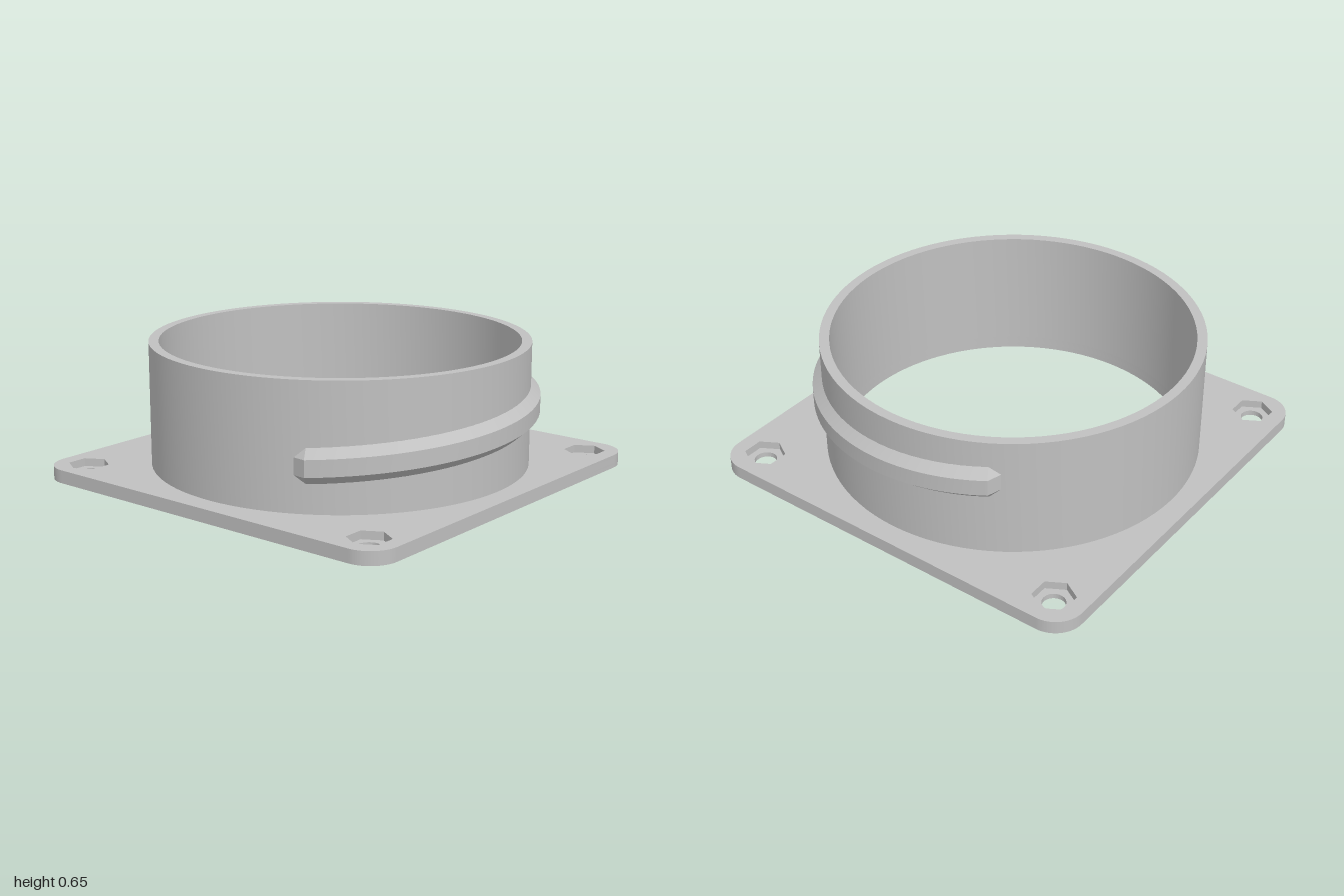
import * as THREE from 'three';
import { toCreasedNormals } from 'three/addons/utils/BufferGeometryUtils.js';

const INNER = 0.85, OUTER = 0.897, HEIGHT = 0.65, PLATE = 0.063, FLOOR = 0.025;
const HOLE_POS = 0.843;

function circlePath(x, y, r) {
  return new THREE.Path().absarc(x, y, r, 0, Math.PI * 2, true);
}

function hexPath(x, y, r) {
  const pts = [];
  for (let i = 0; i < 6; i++) {
    const a = (i * Math.PI) / 3;
    pts.push(new THREE.Vector2(x + r * Math.cos(a), y + r * Math.sin(a)));
  }
  return new THREE.Path(pts).closePath();
}

// One layer of the rounded square plate, with a corner opening of the given kind
function plateLayer(y0, y1, cornerHole) {
  const r = 0.14, c = 1 - r, s = new THREE.Shape();
  s.absarc(c, c, r, 0, Math.PI / 2);
  s.absarc(-c, c, r, Math.PI / 2, Math.PI);
  s.absarc(-c, -c, r, Math.PI, Math.PI * 1.5);
  s.absarc(c, -c, r, Math.PI * 1.5, Math.PI * 2);
  s.closePath();
  s.holes.push(circlePath(0, 0, INNER));
  for (const x of [-HOLE_POS, HOLE_POS])
    for (const y of [-HOLE_POS, HOLE_POS]) s.holes.push(cornerHole(x, y));
  const g = new THREE.ExtrudeGeometry(s, { depth: y1 - y0, bevelEnabled: false, curveSegments: 48 });
  g.rotateX(-Math.PI / 2).translate(0, y0, 0);
  return toCreasedNormals(g, 0.5);
}

// Helical rib: trapezoid section swept half a turn, with ramped ends
function threadGeometry() {
  const start = -Math.PI / 3, end = (Math.PI * 2) / 3, ramp = 0.065, steps = 72;
  const base = 0.083, crest = 0.039, root = OUTER - 0.004, tip = 0.942;
  const pos = [], idx = [];
  const addRing = (a, baseHalf, crestRadius) => {
    const y = 0.333 + (a / Math.PI) * 0.169;
    for (const [r, h] of [[root, -baseHalf], [crestRadius, -crest], [crestRadius, crest], [root, baseHalf]])
      pos.push(r * Math.sin(a), y + h, r * Math.cos(a));
  };
  addRing(start - ramp, crest, root);
  for (let i = 0; i <= steps; i++) addRing(start + ((end - start) * i) / steps, base, tip);
  addRing(end + ramp, crest, root);
  for (let i = 0; i < steps + 2; i++)
    for (let j = 0; j < 3; j++) {
      const a = i * 4 + j, b = a + 4;
      idx.push(a, b, b + 1, a, b + 1, a + 1);
    }
  const g = new THREE.BufferGeometry();
  g.setAttribute('position', new THREE.Float32BufferAttribute(pos, 3));
  g.setIndex(idx);
  g.computeVertexNormals();
  return toCreasedNormals(g, 0.3);
}

export function createModel() {
  const group = new THREE.Group();
  const grey = new THREE.MeshStandardMaterial({ color: 0xc0c0c0 });
  grey.name = 'light grey';
  const add = (name, geometry) => {
    const m = new THREE.Mesh(geometry, grey);
    m.name = name;
    group.add(m);
  };

  // Base plate: bolt holes below, hexagonal nut recesses above
  add('plateBottom', plateLayer(0, FLOOR, (x, y) => circlePath(x, y, 0.053)));
  add('plateTop', plateLayer(FLOOR, PLATE, (x, y) => hexPath(x, y, 0.097)));

  // Round collar, open at both ends
  const profile = [[OUTER, PLATE], [OUTER, HEIGHT], [INNER, HEIGHT], [INNER, PLATE]];
  const collar = new THREE.LatheGeometry(profile.map(([x, y]) => new THREE.Vector2(x, y)), 96);
  add('collar', toCreasedNormals(collar, 0.5));

  // Outside screw thread
  add('thread', threadGeometry());
  return group;
}
